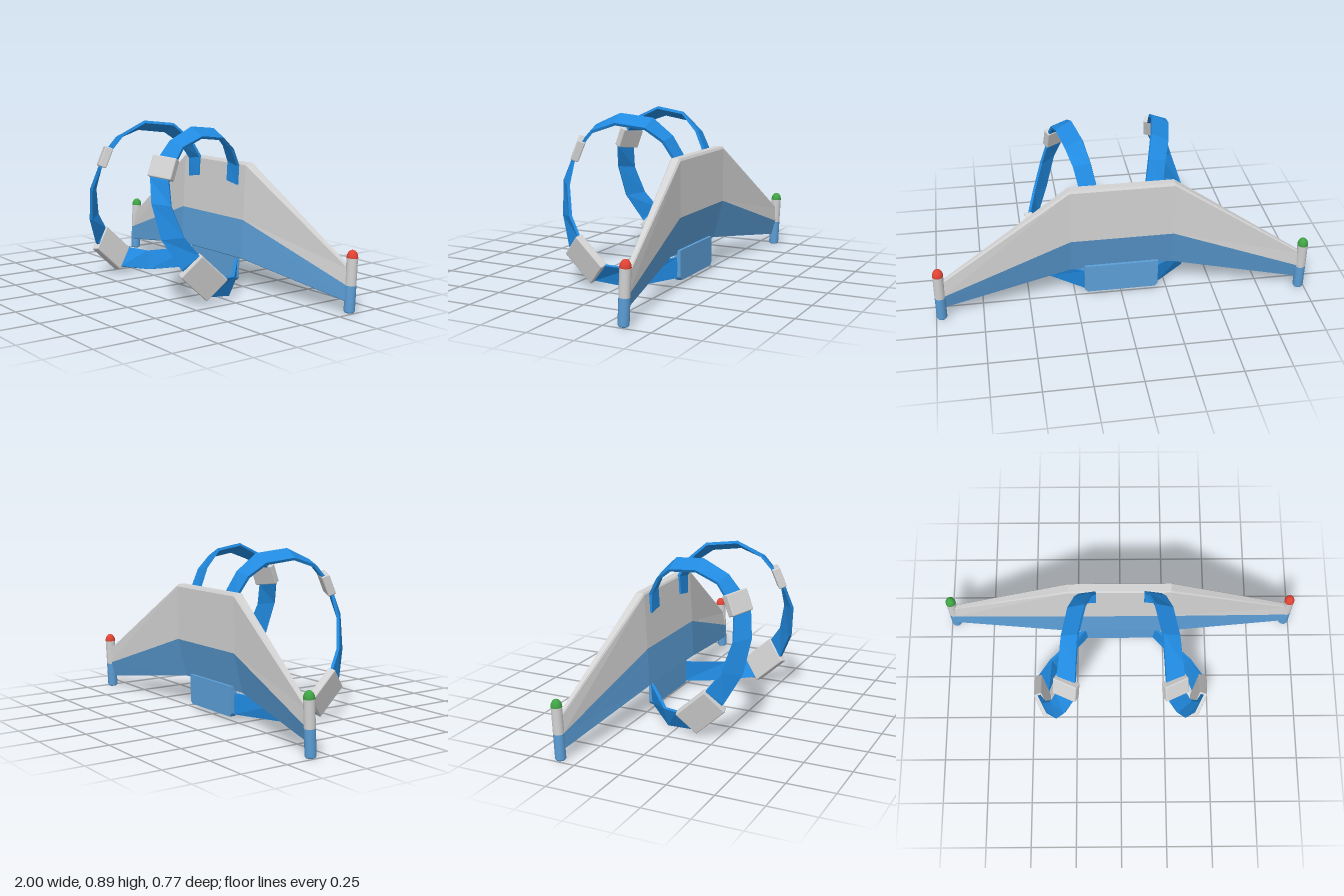
import * as THREE from 'three';
import { RoundedBoxGeometry } from 'three/addons/geometries/RoundedBoxGeometry.js';

const V = (x, y, z) => new THREE.Vector3(x, y, z);

function material(name, color) {
  const m = new THREE.MeshStandardMaterial({ color });
  m.name = name;
  return m;
}

// Flat-faced skin over equal-sized convex rings, capped at both ends.
function loft(rings) {
  const tris = [];
  const n = rings[0].length;
  const last = rings[rings.length - 1];
  for (let i = 0; i + 1 < rings.length; i++) {
    for (let j = 0; j < n; j++) {
      const k = (j + 1) % n;
      const [a, b, c, d] = [rings[i][j], rings[i][k], rings[i + 1][k], rings[i + 1][j]];
      tris.push([a, b, c], [a, c, d]);
    }
  }
  for (let j = 1; j + 1 < n; j++) {
    tris.push([rings[0][0], rings[0][j + 1], rings[0][j]], [last[0], last[j], last[j + 1]]);
  }
  // A negative volume means the faces point inward, so turn them round
  let volume = 0;
  for (const [a, b, c] of tris) volume += a.dot(V().crossVectors(b, c));
  const points = tris.flatMap(([a, b, c]) => (volume < 0 ? [a, c, b] : [a, b, c]));
  const g = new THREE.BufferGeometry().setFromPoints(points);
  g.computeVertexNormals();
  return g;
}

// Strap edges from shoulder to waist: [inner edge, outer edge]
const STRAP = [
  [[0.13, 0.58, -0.232], [0.22, 0.565, -0.232]],
  [[0.13, 0.685, -0.238], [0.22, 0.67, -0.232]],
  [[0.15, 0.78, -0.188], [0.24, 0.76, -0.178]],
  [[0.18, 0.87, -0.09], [0.27, 0.825, -0.09]],
  [[0.215, 0.89, 0.08], [0.3, 0.845, 0.07]],
  [[0.225, 0.825, 0.22], [0.315, 0.8, 0.2]],
  [[0.235, 0.71, 0.325], [0.335, 0.7, 0.28]],
  [[0.245, 0.65, 0.352], [0.335, 0.64, 0.302]],
  [[0.295, 0.53, 0.38], [0.37, 0.52, 0.312]],
  [[0.345, 0.35, 0.355], [0.42, 0.365, 0.27]],
  [[0.41, 0.2, 0.28], [0.455, 0.27, 0.2]],
  [[0.425, 0.04, 0.12], [0.46, 0.135, 0.035]],
  [[0.37, 0.01, -0.05], [0.4, 0.115, -0.06]],
  [[0.19, 0.04, -0.24], [0.2, 0.152, -0.24]],
];

function strapGeometry(edges) {
  const mids = edges.map(([a, b]) => a.clone().add(b).multiplyScalar(0.5));
  return loft(edges.map(([a, b], i) => {
    const along = mids[Math.min(i + 1, mids.length - 1)].clone().sub(mids[Math.max(i - 1, 0)]);
    const up = along.cross(b.clone().sub(a)).setLength(0.008);
    return [a.clone().add(up), b.clone().add(up), b.clone().sub(up), a.clone().sub(up)];
  }));
}

// Block wrapped round the strap between two of its stations
function buckle(edges, from, to, size, mat) {
  const mid = i => edges[i][0].clone().add(edges[i][1]).multiplyScalar(0.5);
  const along = mid(to).sub(mid(from)).normalize();
  const across = edges[from][1].clone().sub(edges[from][0])
    .add(edges[to][1]).sub(edges[to][0]);
  across.addScaledVector(along, -across.dot(along)).normalize();
  const mesh = new THREE.Mesh(new RoundedBoxGeometry(...size, 2, 0.007), mat);
  mesh.quaternion.setFromRotationMatrix(
    new THREE.Matrix4().makeBasis(across, along, V().crossVectors(across, along)));
  mesh.position.copy(mid(from).add(mid(to)).multiplyScalar(0.5));
  return mesh;
}

// Wing profiles as [y, z]: middle section and tip
const UPPER = {
  root: [[0.38, -0.225], [0.675, -0.24], [0.685, -0.247], [0.685, -0.288], [0.672, -0.296], [0.38, -0.296]],
  tip: [[0.145, -0.324], [0.225, -0.335], [0.232, -0.338], [0.232, -0.355], [0.225, -0.36], [0.145, -0.364]],
};
const LOWER = {
  root: [[0.38, -0.225], [0.17, -0.219], [0.165, -0.225], [0.168, -0.242], [0.38, -0.296]],
  tip: [[0.145, -0.324], [0.066, -0.32], [0.062, -0.325], [0.064, -0.342], [0.145, -0.364]],
};

function wingGeometry({ root, tip }) {
  const ring = (profile, x) => profile.map(([y, z]) => V(x, y, z));
  return loft([ring(tip, -0.965), ring(root, -0.275), ring(root, 0.275), ring(tip, 0.965)]);
}

export function createModel() {
  const grey = material('light grey', 0xd2d2d2);
  const blue = material('soft blue', 0x5c9fd8);
  const strapBlue = material('strap blue', 0x218ae0);
  const red = material('red lamp', 0xe04434);
  const green = material('green lamp', 0x40a444);

  const model = new THREE.Group();
  model.name = 'wingPack';
  const add = (parent, name, mesh) => {
    mesh.name = name;
    parent.add(mesh);
    return mesh;
  };

  // Wing
  add(model, 'wingUpper', new THREE.Mesh(wingGeometry(UPPER), grey));
  add(model, 'wingLower', new THREE.Mesh(wingGeometry(LOWER), blue));

  // Waist plate below the wing
  const plate = new THREE.Shape([
    [-0.2, 0.19], [-0.2, 0.045], [-0.185, 0.027], [0.185, 0.027], [0.2, 0.045], [0.2, 0.19],
  ].map(([x, y]) => new THREE.Vector2(x, y)));
  const plateGeometry = new THREE.ExtrudeGeometry(plate, { depth: 0.034, bevelEnabled: false });
  add(model, 'waistPlate', new THREE.Mesh(plateGeometry, blue)).position.z = -0.263;

  for (const side of [1, -1]) {
    const label = side > 0 ? 'left' : 'right';

    // Wing tip pod with lamp
    const pod = add(model, label + 'TipPod', new THREE.Group());
    pod.position.set(side * 0.971, 0.005, -0.344);
    pod.rotation.x = -0.042;
    const base = [[0, 0], [0.023, 0], [0.028, 0.008], [0.028, 0.138]];
    add(pod, 'podBase', new THREE.Mesh(
      new THREE.LatheGeometry(base.map(p => new THREE.Vector2(...p)), 16), blue));
    add(pod, 'podBody', new THREE.Mesh(
      new THREE.CylinderGeometry(0.028, 0.028, 0.138, 16), grey)).position.y = 0.207;
    const lamp = add(pod, 'lamp', new THREE.Mesh(
      new THREE.SphereGeometry(0.029, 16, 6, 0, Math.PI * 2, 0, Math.PI / 2),
      side > 0 ? red : green));
    lamp.position.y = 0.276;
    lamp.scale.y = 1.4;

    // Harness strap with two buckles
    const edges = STRAP.map(pair => pair.map(([x, y, z]) => V(side * x, y, z)));
    add(model, label + 'Strap', new THREE.Mesh(strapGeometry(edges), strapBlue));
    add(model, label + 'ChestBuckle', buckle(edges, 6, 6 + 1, [0.135, 0.115, 0.045], grey))
      .position.set(side * 0.282, 0.703, 0.299);
    add(model, label + 'WaistBuckle', buckle(edges, 10, 11, [0.155, 0.215, 0.045], grey))
      .position.set(side * 0.442, 0.15, 0.166);
  }
  return model;
}
